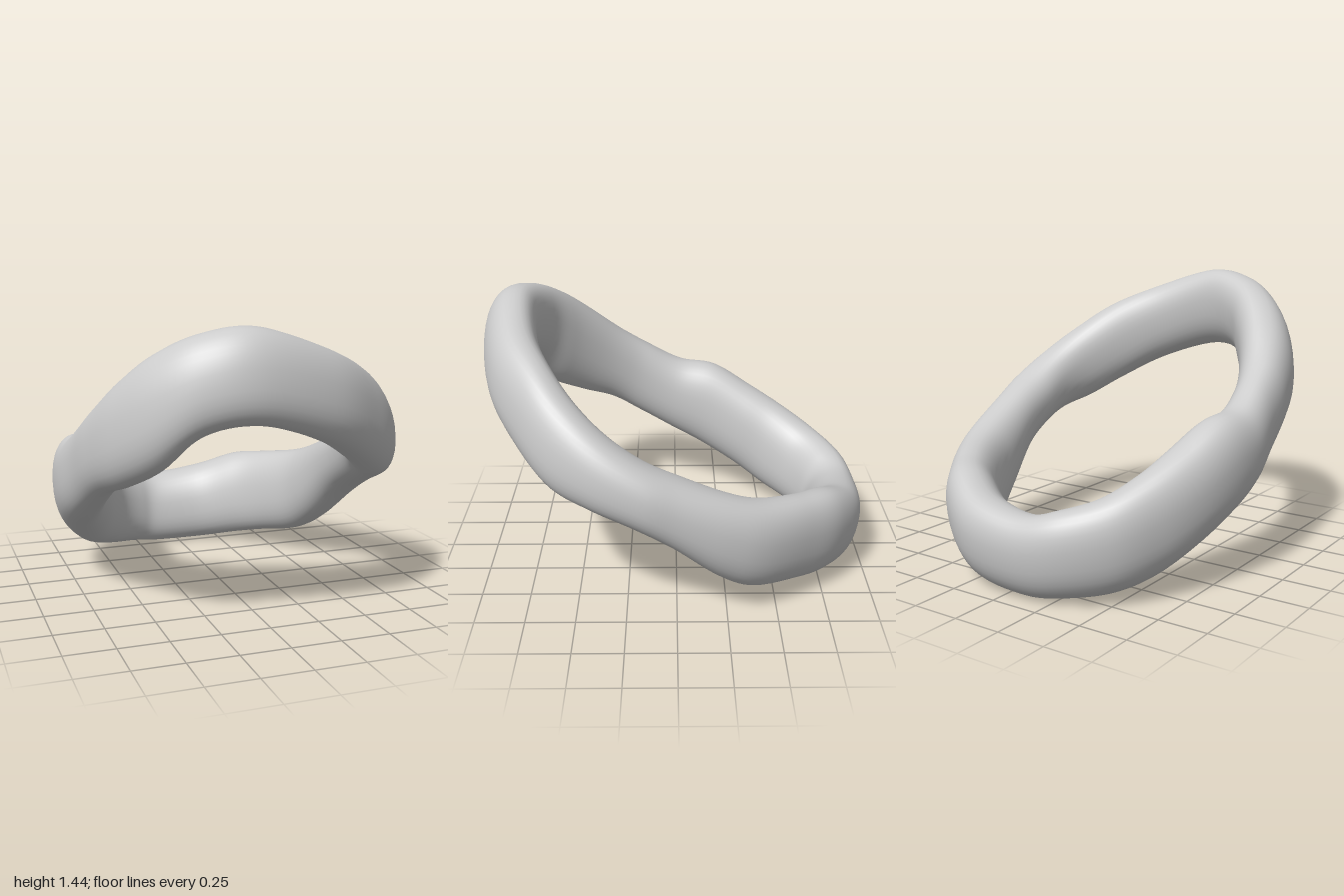
import * as THREE from 'three';

// Stations round the ring, starting at the back and passing +x, front, -x:
// [outer x, outer z, inner x, inner z, top y, bottom y]
const stations = [
  [-0.10, -1.00, -0.13, -0.73, 0.41, 0.00],
  [0.20, -0.97, 0.10, -0.69, 0.45, 0.01],
  [0.43, -0.84, 0.27, -0.60, 0.53, 0.05],
  [0.59, -0.66, 0.38, -0.49, 0.56, 0.09],
  [0.74, -0.44, 0.48, -0.32, 0.60, 0.14],
  [0.81, -0.25, 0.53, -0.18, 0.66, 0.24],
  [0.85, 0.00, 0.57, 0.00, 0.76, 0.42],
  [0.865, 0.18, 0.58, 0.18, 0.85, 0.53],
  [0.82, 0.40, 0.56, 0.34, 0.97, 0.61],
  [0.71, 0.60, 0.48, 0.48, 1.10, 0.67],
  [0.54, 0.76, 0.34, 0.60, 1.23, 0.78],
  [0.27, 0.92, 0.14, 0.69, 1.34, 0.91],
  [-0.12, 0.995, -0.12, 0.725, 1.44, 1.01],
  [-0.40, 0.94, -0.31, 0.66, 1.41, 0.97],
  [-0.61, 0.80, -0.42, 0.56, 1.32, 0.80],
  [-0.74, 0.62, -0.51, 0.43, 1.19, 0.70],
  [-0.81, 0.40, -0.57, 0.30, 1.05, 0.63],
  [-0.84, 0.20, -0.60, 0.17, 0.94, 0.53],
  [-0.87, 0.00, -0.60, 0.00, 0.84, 0.42],
  [-0.86, -0.20, -0.57, -0.19, 0.81, 0.32],
  [-0.80, -0.42, -0.51, -0.38, 0.70, 0.21],
  [-0.70, -0.63, -0.45, -0.52, 0.60, 0.11],
  [-0.56, -0.82, -0.36, -0.64, 0.51, 0.05],
  [-0.34, -0.96, -0.24, -0.71, 0.45, 0.02],
];

const closedCurve = (pick) =>
  new THREE.CatmullRomCurve3(stations.map(pick), true, 'catmullrom', 0.5);

// Rounded, slightly squared section swept between the outer and inner outlines
function sweepRing(around, sides) {
  const outer = closedCurve((s) => new THREE.Vector3(s[0], 0, s[1]));
  const inner = closedCurve((s) => new THREE.Vector3(s[2], 0, s[3]));
  const heights = closedCurve((s) => new THREE.Vector3(s[4], s[5], 0));
  const soften = (v) => Math.sign(v) * Math.abs(v) ** 0.88;
  const lean = 0.15; // the section tips back with the ring's slope
  const positions = [];
  const indices = [];
  for (let i = 0; i < around; i++) {
    const t = i / around;
    const o = outer.getPoint(t);
    const n = inner.getPoint(t);
    const h = heights.getPoint(t);
    for (let j = 0; j < sides; j++) {
      const a = (j / sides) * Math.PI * 2;
      const across = 0.5 + 0.5 * soften(Math.cos(a));
      const rise = (soften(Math.sin(a)) * (h.x - h.y)) / 2;
      positions.push(
        n.x + (o.x - n.x) * across,
        (h.x + h.y) / 2 + rise,
        n.z + (o.z - n.z) * across - lean * rise,
      );
      const i2 = (i + 1) % around;
      const j2 = (j + 1) % sides;
      const p = i * sides + j;
      const q = i * sides + j2;
      const r = i2 * sides + j;
      const s = i2 * sides + j2;
      indices.push(p, q, r, q, s, r);
    }
  }
  const geometry = new THREE.BufferGeometry();
  geometry.setAttribute('position', new THREE.Float32BufferAttribute(positions, 3));
  geometry.setIndex(indices);
  geometry.computeVertexNormals();
  return geometry;
}

export function createModel() {
  const group = new THREE.Group();
  group.name = 'tiltedRing';
  const ring = new THREE.Mesh(
    sweepRing(168, 36),
    new THREE.MeshStandardMaterial({ color: 0xcccccc }),
  );
  ring.name = 'ring';
  group.add(ring);
  return group;
}
